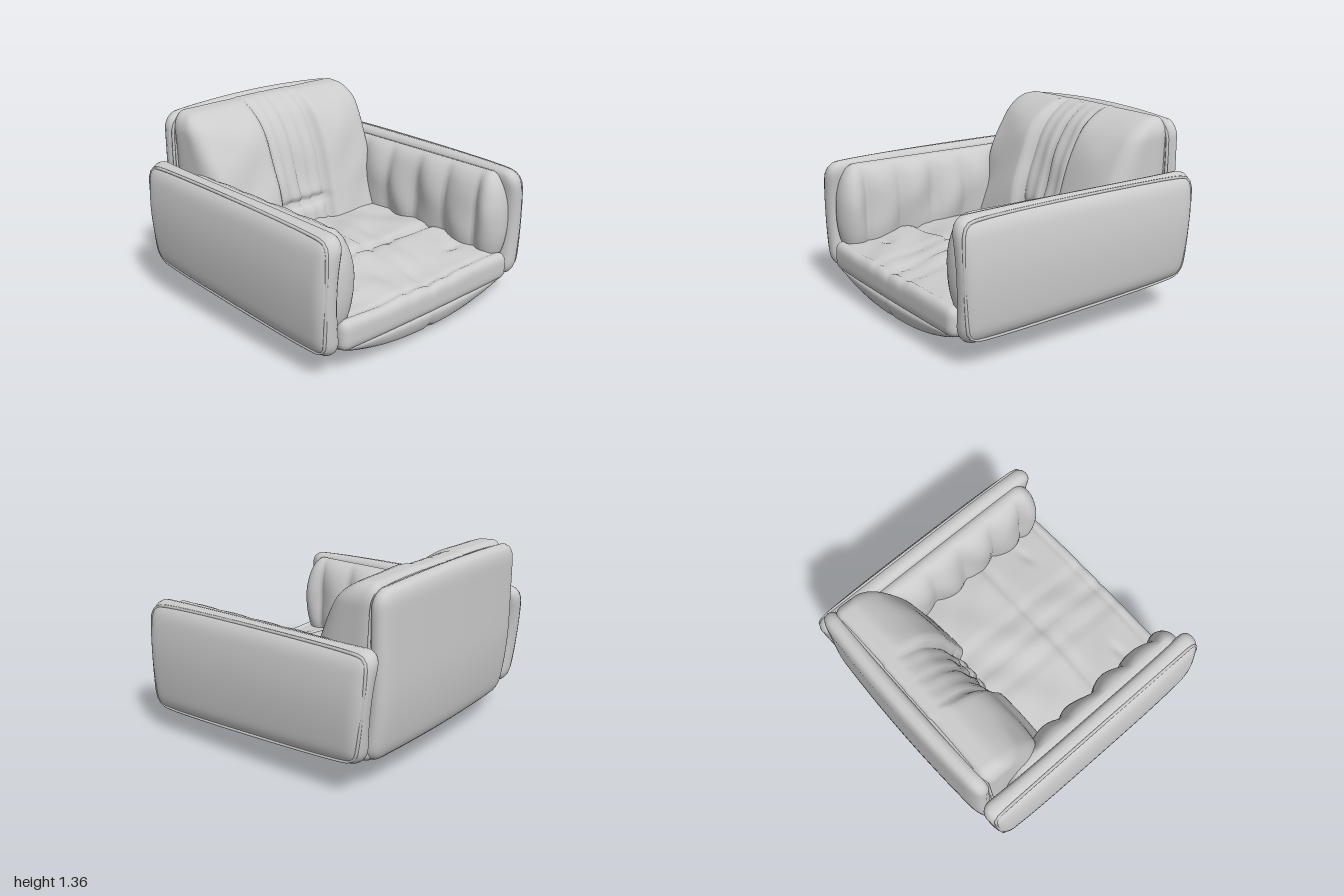
import * as THREE from 'three';
import { mergeVertices } from 'three/addons/utils/BufferGeometryUtils.js';

const material = new THREE.MeshStandardMaterial({ color: 0xcccccc, roughness: 0.9 });
const clamp = THREE.MathUtils.clamp;
const lerp = THREE.MathUtils.lerp;
// soft groove or bump of width w around position c
const bump = (t, c, w) => Math.exp(-(((t - c) / w) ** 2));
// gentle uneven upholstery surface
const wrinkle = (a, b) => 0.006 * (Math.sin(9 * a + 3 * Math.sin(5 * b)) + Math.sin(13 * b + 2 * Math.sin(7 * a)));

// Subdivided block with elliptical edge rounding, then bent by a rule
function softBlock(name, half, radius, segments, warp) {
  const geo = new THREE.BoxGeometry(2, 2, 2, ...segments);
  geo.deleteAttribute('normal');
  geo.deleteAttribute('uv');
  const merged = mergeVertices(geo);
  const pos = merged.attributes.position;
  const v = new THREE.Vector3();
  const d = new THREE.Vector3();
  for (let i = 0; i < pos.count; i++) {
    v.fromBufferAttribute(pos, i);
    ['x', 'y', 'z'].forEach((k, a) => {
      const p = Math.sin(v[k] * Math.PI / 2) * half[a];
      const core = clamp(p, radius[a] - half[a], half[a] - radius[a]);
      d[k] = (p - core) / radius[a];
      v[k] = core;
    });
    d.normalize();
    v.set(v.x + d.x * radius[0], v.y + d.y * radius[1], v.z + d.z * radius[2]);
    warp(v);
    pos.setXYZ(i, v.x, v.y, v.z);
  }
  merged.computeVertexNormals();
  const mesh = new THREE.Mesh(merged, material);
  mesh.name = name;
  return mesh;
}

// Thin welt following a rounded rectangle; place() maps (a, b) to a bent point
function piping(name, a, b, r, place) {
  const points = [];
  [[1, 1], [-1, 1], [-1, -1], [1, -1]].forEach(([sa, sb], c) => {
    for (let i = 0; i <= 3; i++) {
      const t = (c + i / 3) * Math.PI / 2;
      points.push(place(sa * (a - r) + r * Math.cos(t), sb * (b - r) + r * Math.sin(t)));
    }
  });
  const curve = new THREE.CatmullRomCurve3(points, true, 'centripetal');
  const mesh = new THREE.Mesh(new THREE.TubeGeometry(curve, 120, 0.011, 6, true), material);
  mesh.name = name;
  return mesh;
}

// Side panel: taller at the front, raked rear edge, thin at top and bottom
function bendArm(v) {
  const up = v.y / 0.41;
  const back = (1 - v.z / 0.96) / 2;
  const low = (1 - up) / 2;
  v.x += 0.92 - (up > 0 ? 0.055 : 0.035) * up * up - 0.02 * (v.z / 0.96) ** 4;
  v.z += 0.08 * low * back - 0.02 * (1 - back) * low;
  v.y += 0.575 + 0.07 * low * back + 0.01 * back - 0.02 * (1 - low) * Math.max(0, v.z) ** 3;
  return v;
}

function createArm(side) {
  const arm = new THREE.Group();
  arm.name = side > 0 ? 'leftArm' : 'rightArm';
  const sided = (rule) => (v) => {
    v.x *= side;
    rule(v);
    v.x *= side;
    return v;
  };

  arm.add(softBlock('armPanel', [0.08, 0.41, 0.96], [0.075, 0.12, 0.1], [8, 24, 40], sided(bendArm)));
  arm.add(piping('armPiping', 0.38, 0.93, 0.09, (y, z) => sided(bendArm)(new THREE.Vector3(side * 0.056, y, z))));

  // Padded inside of the arm with vertical channels
  arm.add(softBlock('armCushion', [0.15, 0.36, 0.8], [0.15, 0.34, 0.15], [10, 24, 80], sided((v) => {
    const inner = clamp(-v.x / 0.15, 0, 1);
    const channel = Math.abs(Math.cos((v.z + 0.09) * Math.PI / 0.28)) ** 0.7;
    v.x += 0.77 + inner * (0.055 * (1 - channel) + wrinkle(v.y, v.z));
    v.y += 0.6;
    v.z += 0.12;
  })));
  return arm;
}

// Rear shell leans slightly, with a softly crowned top
function bendShell(v) {
  const up = v.y / 0.58;
  v.y += 0.785 - (up > 0 ? 0.035 * up * (v.x / 0.8) ** 2 : 0);
  v.z += -0.91 + (up < 0 ? 0.07 * up * up : 0) + 0.03 * (v.x / 0.8) ** 2;
  return v;
}

function createBack() {
  const back = new THREE.Group();
  back.name = 'backrest';
  back.add(softBlock('backShell', [0.8, 0.58, 0.065], [0.12, 0.12, 0.06], [36, 28, 6], bendShell));
  back.add(piping('backPiping', 0.77, 0.55, 0.1, (x, y) => bendShell(new THREE.Vector3(x, y, 0.045))));

  // Deep cushion: two wide pads and a recessed channelled centre
  back.add(softBlock('backCushion', [0.775, 0.52, 0.2], [0.1, 0.14, 0.12], [90, 48, 14], (v) => {
    const { x } = v;
    const y = v.y + 0.84;
    const t = (v.z / 0.2 + 1) / 2;
    const u = Math.max(0, y - 0.45);
    const centre = 1 / (1 + Math.exp((Math.abs(x) - 0.21) * 60));
    const seam = bump(Math.abs(x), 0.215, 0.025) + 0.5 * bump(x, 0, 0.018) + 0.25 * bump(Math.abs(x), 0.11, 0.02);
    const fold = centre * bump(y, 0.61, 0.025);
    let front = -0.21 - 0.28 * u - 0.3 * u ** 6;
    front += -0.06 * centre - 0.05 * seam - 0.05 * fold - 0.05 * (x / 0.775) ** 4 + wrinkle(x, y);
    v.z = lerp(-0.875, front, t);
    v.x *= 1 - 0.07 * clamp((0.9 - y) / 0.45, 0, 1) * t;
    v.y = y - 0.02 * t * (x / 0.775) ** 2 * u;
  }));
  return back;
}

function createSeat() {
  const seat = new THREE.Group();
  seat.name = 'seat';
  // Seat cushion rising to a cross fold, with soft lengthwise channels
  seat.add(softBlock('seatCushion', [0.81, 0.11, 0.9], [0.06, 0.07, 0.06], [60, 12, 80], (v) => {
    const { x } = v;
    const z = v.z + 0.05;
    const t = (v.y / 0.11 + 1) / 2;
    const rise = 0.1 * THREE.MathUtils.smoothstep(0.95 - z, 0.02, 0.7) * (1 - 0.5 * (x / 0.81) ** 2);
    const seams = 0.016 * (bump(Math.abs(x), 0.19, 0.03) + bump(x, 0, 0.025));
    const folds = 0.03 * bump(z, 0.33, 0.03) + 0.012 * bump(z, 0.87, 0.02);
    const tucks = 0.025 * bump(Math.abs(x), 0.52, 0.08) * bump(z, 0.65, 0.03);
    const top = 0.385 + rise - seams - folds - tucks + wrinkle(x, z);
    const bottom = 0.175 + 0.04 * clamp((0.4 - z) / 1.2, 0, 1);
    v.y = lerp(bottom, top, t);
    v.z = z + 0.012 * (1 - (x / 0.81) ** 2);
  }));
  seat.add(piping('seatPiping', 0.78, 0.87, 0.06, (x, z) =>
    new THREE.Vector3(x, 0.185 + 0.04 * clamp((0.35 - z) / 1.2, 0, 1), z + 0.05)));

  // Bowed underside with a cross seam and a lengthwise seam
  seat.add(softBlock('seatBase', [0.82, 0.1, 0.83], [0.08, 0.06, 0.08], [48, 8, 64], (v) => {
    const z = v.z + 0.11;
    const t = (1 - v.y / 0.1) / 2;
    const tail = THREE.MathUtils.smoothstep(-z, 0.38, 0.78);
    const across = 1 - 0.75 * Math.abs(v.x / 0.82) ** 2.4;
    const seams = 0.03 * bump(z, -0.13, 0.03) + 0.02 * bump(v.x, 0, 0.025) * (z < -0.1 ? 0 : 1);
    const nose = 0.04 * THREE.MathUtils.smoothstep(z, 0.75, 0.94);
    const depth = 0.2 * across * (1 - 0.85 * tail) - nose * across - seams;
    v.y = 0.205 - t * depth;
    v.x *= 1 - 0.08 * t;
    v.z = z + 0.03 * (1 - (v.x / 0.82) ** 2) - 0.05 * t * Math.max(0, z);
  }));
  return seat;
}

export function createModel() {
  const chair = new THREE.Group();
  chair.name = 'armchair';
  chair.add(createArm(1), createArm(-1), createBack(), createSeat());
  return chair;
}
